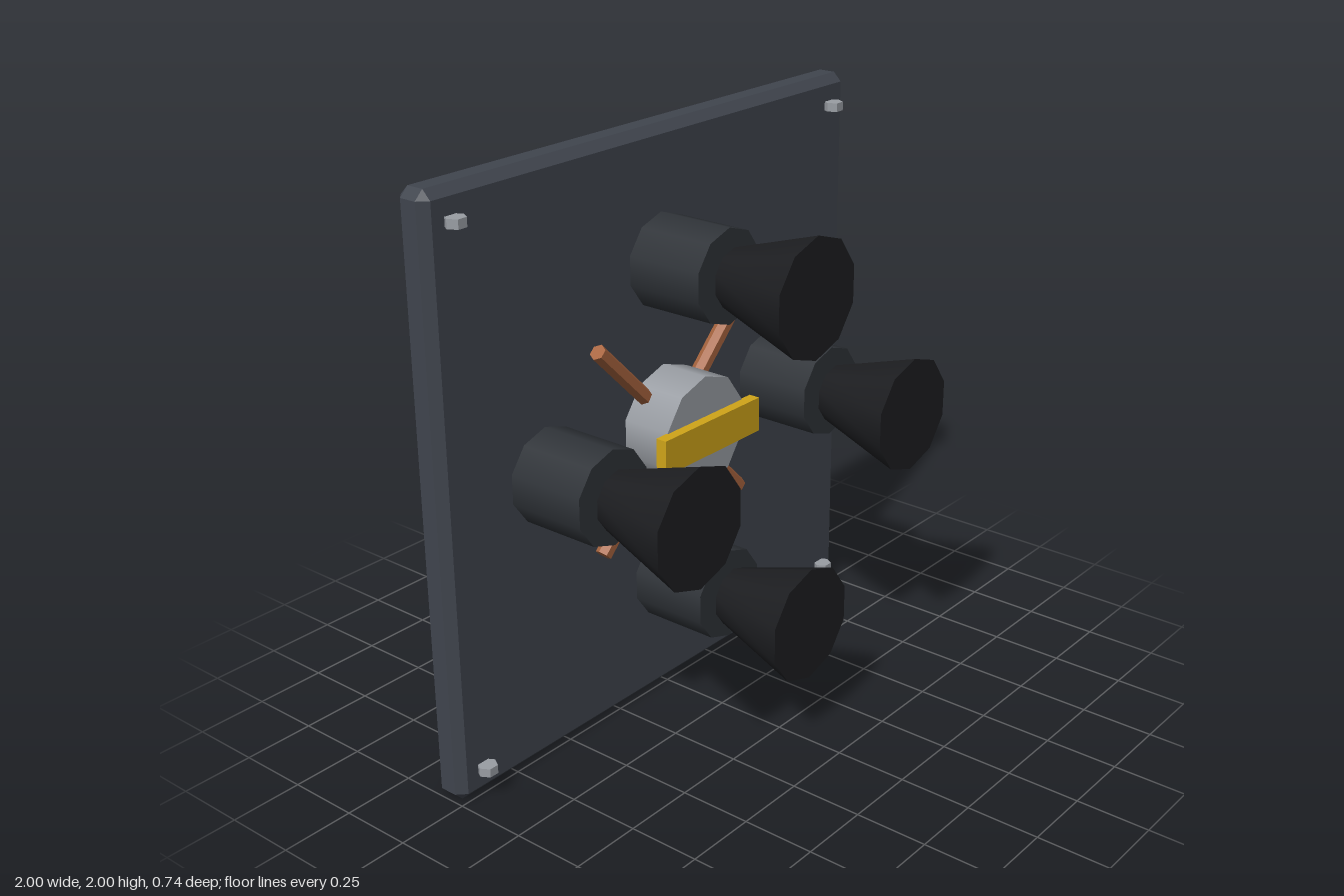
import * as THREE from 'three';
import { ConvexGeometry } from 'three/addons/geometries/ConvexGeometry.js';

const mat = (color, flatShading = false) => new THREE.MeshStandardMaterial({ color, flatShading });
const plateMat = mat(0x40454e, true);
const chamberMat = mat(0x2f3338);
const nozzleMat = mat(0x1d1e21);
const steelMat = mat(0x9a9ea4);
const boltMat = mat(0x9a9ea4, true);
const copperMat = mat(0xa9653f, true);
const yellowMat = mat(0xd0a519, true);

// Box with every edge cut at 45 degrees
function chamferedBox(w, h, d, b) {
  const points = [];
  for (const x of [-w / 2, w / 2]) for (const y of [-h / 2, h / 2]) for (const z of [-d / 2, d / 2]) {
    for (let axis = 0; axis < 3; axis++) {
      const p = [x, y, z].map((v, i) => (i === axis ? v : v - Math.sign(v) * b));
      points.push(new THREE.Vector3(...p));
    }
  }
  return new ConvexGeometry(points);
}

// Ten-sided drum along z, from zBack to zFront
function drum(rBack, rFront, zBack, zFront) {
  return new THREE.CylinderGeometry(rFront, rBack, zFront - zBack, 10)
    .rotateX(Math.PI / 2)
    .translate(0, 0, (zBack + zFront) / 2);
}

export function createModel() {
  const model = new THREE.Group();
  const add = (name, geometry, material, x = 0, y = 0, z = 0, parent = model) => {
    const mesh = new THREE.Mesh(geometry, material);
    mesh.name = name;
    mesh.position.set(x, y, z);
    parent.add(mesh);
    return mesh;
  };

  // Square back plate
  add('backPlate', chamferedBox(2, 2, 0.12, 0.03), plateMat, 0, 1, -0.31);

  // Four thrusters in a cross: a chamber and a flared nozzle each
  const chamber = drum(0.16, 0.16, -0.26, 0.03);
  const nozzle = drum(0.1, 0.2, 0.05, 0.37);
  for (const [x, y] of [[0, 0.56], [0.56, 0], [0, -0.56], [-0.56, 0]]) {
    const thruster = new THREE.Group();
    thruster.name = 'thruster';
    thruster.position.set(x, 1 + y, 0);
    add('chamber', chamber, chamberMat, 0, 0, 0, thruster);
    add('nozzle', nozzle, nozzleMat, 0, 0, 0, thruster);
    model.add(thruster);
  }

  // Central hub with a crossbar
  add('hub', drum(0.2, 0.2, -0.26, -0.07), steelMat, 0, 1, 0);
  add('crossbar', new THREE.BoxGeometry(0.48, 0.12, 0.04), yellowMat, 0, 1, -0.055);

  // Diagonal copper pipes from the hub
  const pipe = new THREE.CylinderGeometry(0.028, 0.028, 0.39, 6)
    .rotateY(Math.PI / 6)
    .translate(0, 0.305, 0);
  for (let i = 0; i < 4; i++) {
    add('pipe', pipe, copperMat, 0, 1, -0.213).rotation.z = Math.PI / 4 + (i * Math.PI) / 2;
  }

  // Hexagonal bolts in the plate corners
  const bolt = new THREE.CylinderGeometry(0.034, 0.034, 0.03, 6).rotateY(Math.PI / 6);
  for (const x of [-0.9, 0.9]) for (const y of [0.1, 1.9]) {
    add('bolt', bolt, boltMat, x, y, -0.23);
  }
  return model;
}
